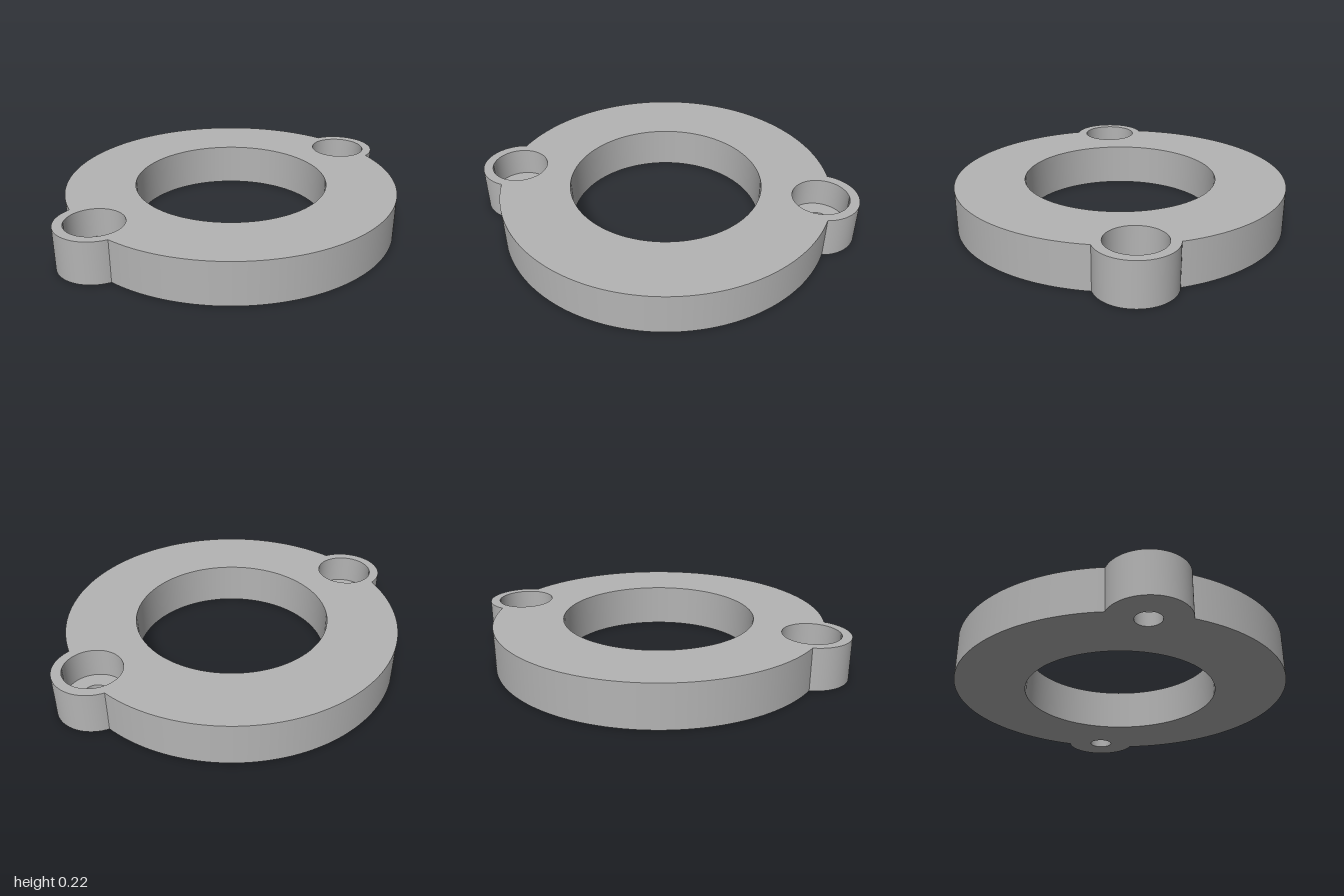
import * as THREE from 'three';

const HEIGHT = 0.22, FLOOR = 0.07;        // plate thickness, counterbore floor
const R = 0.86, INNER = 0.5;              // ring radii
const EAR_Z = 0.805, EAR = 0.195;         // mounting ears
const BORE = 0.146, HOLE = 0.063;         // counterbore and screw hole
const SEG = 96;

// Where the ear circle meets the ring
const zi = (R * R - EAR * EAR + EAR_Z * EAR_Z) / (2 * EAR_Z);
const xi = Math.sqrt(R * R - zi * zi);
const ringAngle = Math.atan2(xi, zi);
const earAngle = Math.atan2(xi, zi - EAR_Z);

export function createModel() {
  const group = new THREE.Group();
  const grey = new THREE.MeshStandardMaterial({ color: 0xb4b4b4 });
  grey.name = 'grey metal';

  const add = (name, geometry) => {
    const mesh = new THREE.Mesh(geometry, grey);
    mesh.name = name;
    group.add(mesh);
    return mesh;
  };

  // One revolved strip from (r0, y0) to (r1, y1); upward strips face outward
  const strip = (name, r0, y0, r1, y1, z = 0, start = 0, length = Math.PI * 2) => {
    const profile = [new THREE.Vector2(r0, y0), new THREE.Vector2(r1, y1)];
    add(name, new THREE.LatheGeometry(profile, SEG, start, length)).position.z = z;
  };

  // Flat face with the plate outline, the centre opening and two ear holes
  const face = (name, holeRadius, y, tilt) => {
    const h = Math.PI / 2;
    const shape = new THREE.Shape();
    shape.absarc(0, 0, R, -h + ringAngle, h - ringAngle, false);
    shape.absarc(0, EAR_Z, EAR, h - earAngle, h + earAngle, false);
    shape.absarc(0, 0, R, h + ringAngle, 3 * h - ringAngle, false);
    shape.absarc(0, -EAR_Z, EAR, 3 * h - earAngle, 3 * h + earAngle, false);
    for (const [cy, r] of [[0, INNER], [EAR_Z, holeRadius], [-EAR_Z, holeRadius]]) {
      shape.holes.push(new THREE.Path().absarc(0, cy, r, 0, Math.PI * 2, true));
    }
    const geometry = new THREE.ShapeGeometry(shape, SEG / 2);
    geometry.rotateX(tilt).translate(0, y, 0);
    add(name, geometry);
  };

  face('topFace', BORE, HEIGHT, -Math.PI / 2);
  face('bottomFace', HOLE, 0, Math.PI / 2);
  strip('centreOpening', INNER, HEIGHT, INNER, 0);

  // Half ring wall, ear wall and stepped screw hole on each end
  for (const [end, side, z, turn] of [['front', 'left', EAR_Z, 0], ['back', 'right', -EAR_Z, Math.PI]]) {
    strip(side + 'RingWall', R, 0, R, HEIGHT, 0, turn + ringAngle, Math.PI - 2 * ringAngle);
    strip(end + 'EarWall', EAR, 0, EAR, HEIGHT, z, turn - earAngle, 2 * earAngle);
    strip(end + 'Counterbore', BORE, HEIGHT, BORE, FLOOR, z);
    strip(end + 'CounterboreFloor', BORE, FLOOR, HOLE, FLOOR, z);
    strip(end + 'ScrewHole', HOLE, FLOOR, HOLE, 0, z);
  }
  return group;
}
